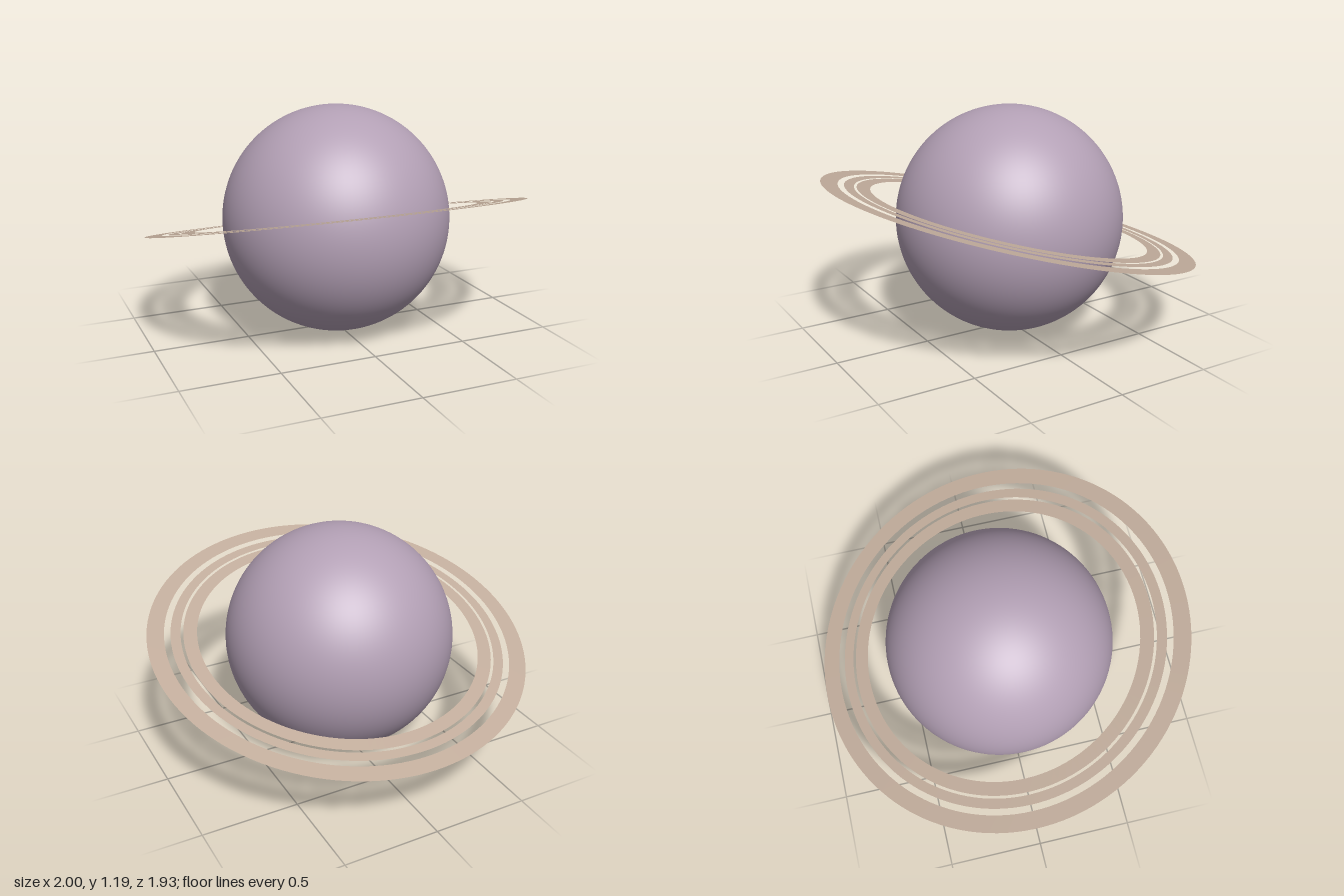
import * as THREE from 'three';

const RADIUS = 0.597;
const TILT = THREE.MathUtils.degToRad(-15); // front edge of the rings is raised

// inner and outer radius of each flat band
const BANDS = [
  ['innerRing', 0.744, 0.814],
  ['middleRing', 0.828, 0.879],
  ['outerRing', 0.912, 1.0],
];

export function createModel() {
  const mauve = new THREE.MeshStandardMaterial({ name: 'mauve', color: 0xb3a0b5 });
  const sand = new THREE.MeshStandardMaterial({ name: 'sand', color: 0xc2ad9c, side: THREE.DoubleSide });

  const model = new THREE.Group();
  model.name = 'ringedPlanet';

  // planet body
  const planet = new THREE.Mesh(new THREE.SphereGeometry(RADIUS, 96, 64), mauve);
  planet.name = 'planet';
  planet.position.y = RADIUS;
  model.add(planet);

  // paper-thin concentric rings sharing one tilt
  const rings = new THREE.Group();
  rings.name = 'rings';
  rings.position.y = RADIUS;
  rings.rotation.x = TILT;
  for (const [name, inner, outer] of BANDS) {
    const geometry = new THREE.RingGeometry(inner, outer, 128);
    geometry.rotateX(-Math.PI / 2);
    const ring = new THREE.Mesh(geometry, sand);
    ring.name = name;
    rings.add(ring);
  }
  model.add(rings);

  return model;
}
